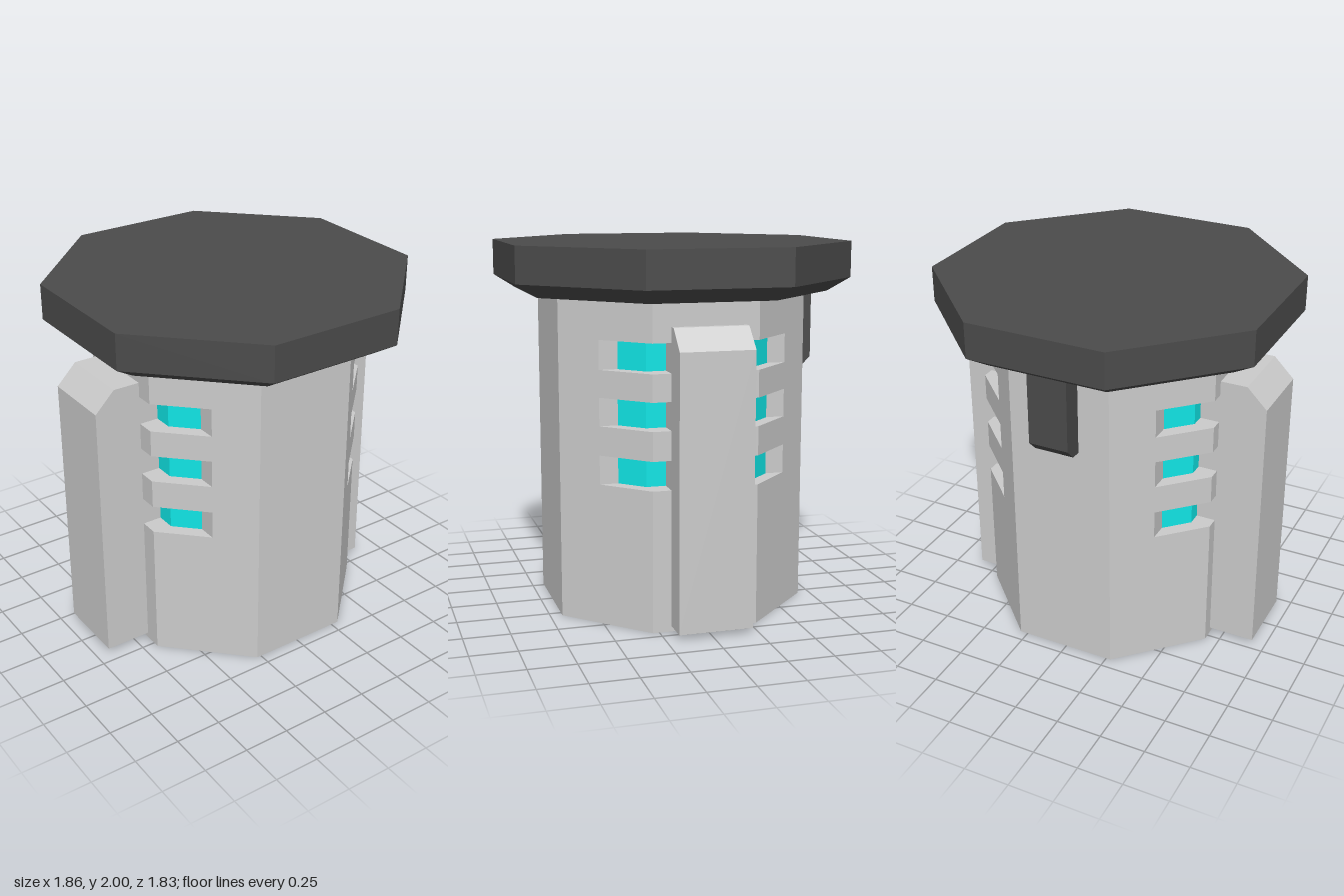
import * as THREE from 'three';

export function createModel() {
  const model = new THREE.Group();
  const hull = new THREE.Group();
  hull.name = 'canister';
  hull.position.x = 0.01;
  model.add(hull);

  const std = (color, side = THREE.FrontSide) =>
    new THREE.MeshStandardMaterial({ color, side, flatShading: true });
  const grey = std(0xcccccc);
  const greyThin = std(0xcccccc, THREE.DoubleSide);
  const dark = std(0x4b4b4b);
  const teal = std(0x10e6e6);

  function add(name, geometry, material) {
    const mesh = new THREE.Mesh(geometry, material);
    mesh.name = name;
    hull.add(mesh);
    return mesh;
  }

  const shape = (pts) => new THREE.Shape(pts.map(([x, y]) => new THREE.Vector2(x, y)));
  const extrude = (pts, depth) =>
    new THREE.ExtrudeGeometry(shape(pts), { depth, bevelEnabled: false });

  // Upright prism from an (x, z) outline between two heights
  const prism = (pts, y0, y1) =>
    extrude(pts, y1 - y0).rotateX(-Math.PI / 2).translate(0, y0, 0);

  // Eight-sided outline: flat sides at distance a, corners at offset b
  const octagon = (a, b) => [
    [a, -b], [a, b], [b, a], [-b, a], [-a, b], [-a, -b], [-b, -a], [b, -a],
  ];

  const R = 0.685, C = 0.284;      // body apothem and corner offset
  const top = 1.73;
  const cut = 0.46;                // depth plane of the side slots
  const cutZ = R + C - cut;

  // Thin middle shell, open at the bottom
  const outline = octagon(cut, cutZ).slice(0, 2)
    .concat([[C, R], [-C, R], [-cut, cutZ], [-cut, -cutZ], [-C, -R], [C, -R]]);
  const pos = [];
  outline.forEach(([x0, z0], i) => {
    const [x1, z1] = outline[(i + 1) % outline.length];
    pos.push(x0, 0, -z0, x1, 0, -z1, x1, top, -z1, x0, 0, -z0, x1, top, -z1, x0, top, -z0);
  });
  const shellGeometry = new THREE.BufferGeometry();
  shellGeometry.setAttribute('position', new THREE.Float32BufferAttribute(pos, 3));
  shellGeometry.computeVertexNormals();
  add('bodyShell', shellGeometry, greyThin);

  // Glowing core seen through the slots and from below
  add('core', prism(octagon(0.58, 0.29), 0.005, top), teal);

  // Solid side slabs, stacked with slots between them
  const levels = [[0, 0.76], [0.915, 1.07], [1.22, 1.365], [1.52, top]];
  for (const s of [-1, 1]) {
    const side = s > 0 ? 'left' : 'right';
    const slab = [[s * cut, -cutZ], [s * R, -C], [s * R, C], [s * cut, cutZ]];
    levels.forEach(([y0, y1]) => add(side + 'SideSlab', prism(slab, y0, y1), grey));

    // Upright side pillar with a chamfered outer top edge
    const out = s > 0 ? 0.83 : 0.94;
    const profile = [
      [s * 0.5, 0.03], [s * out, 0.03], [s * out, 1.49], [s * (out - 0.11), 1.6], [s * 0.5, 1.6],
    ];
    add(side + 'Pillar', extrude(profile, 0.4).translate(0, 0, -0.215), grey);
  }

  // Eight-sided lid with a bevelled lower edge
  const k = 1 / Math.cos(Math.PI / 8);
  const lid = new THREE.LatheGeometry(
    [[0, top], [0.8, top], [0.917, 1.805], [0.917, 2], [0, 2]]
      .map(([r, y]) => new THREE.Vector2(r * k, y)),
    8, Math.PI / 8);
  add('lid', lid, dark);

  // Latch hanging from the lid at the back, chamfered at its lower outer edge
  const latch = extrude(
    [[0.65, 1.28], [0.74, 1.28], [0.8, 1.34], [0.8, 1.75], [0.65, 1.75]], 0.22)
    .translate(0, 0, -0.11).rotateY(Math.PI / 2);
  add('backLatch', latch, dark);

  return model;
}
